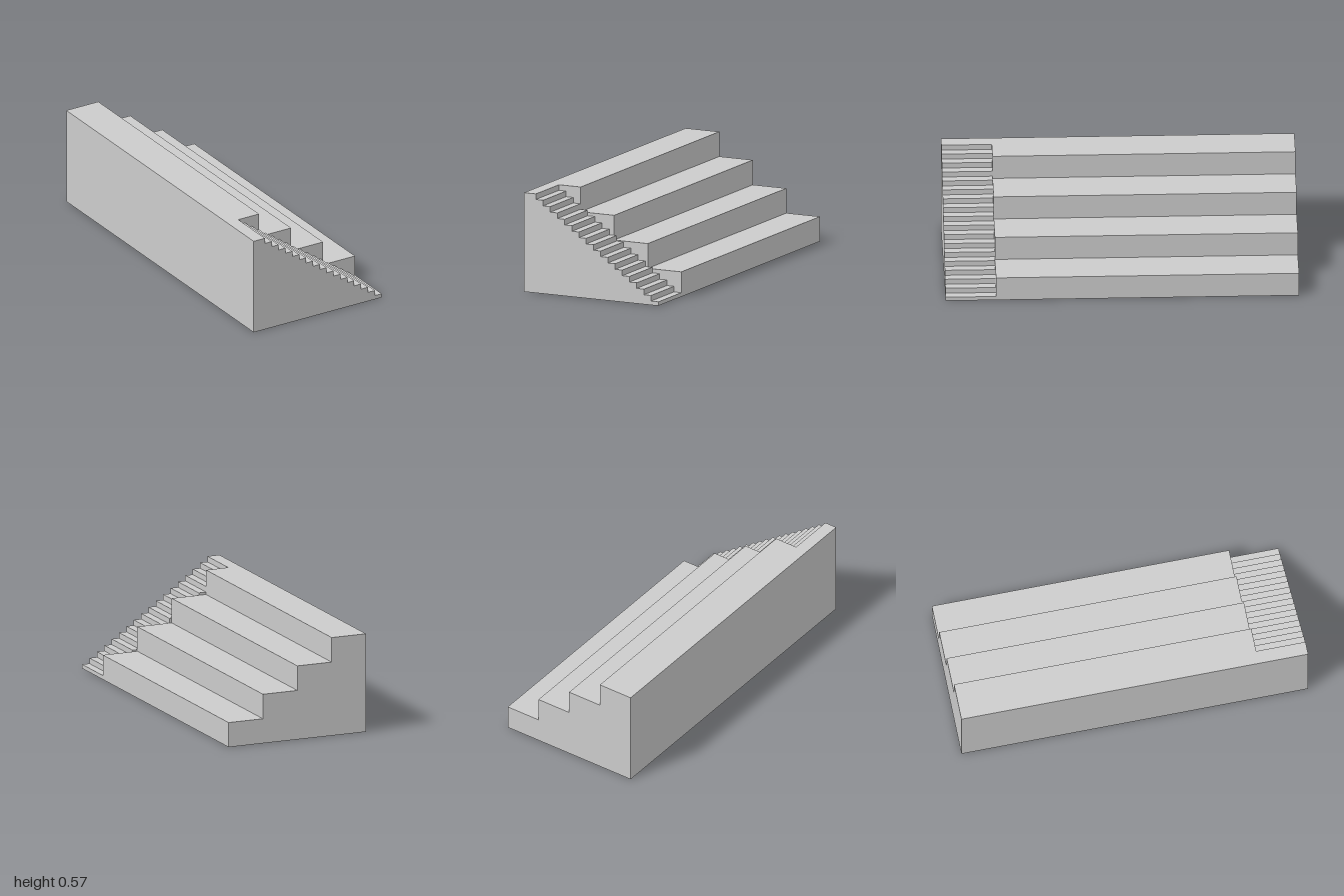
import * as THREE from 'three';

const HALF_WIDTH = 0.427;
const HEIGHT = 0.572;
const SPLIT_Z = 0.715; // where the seating tiers end and the stairway begins

// Solid stepped block: descends towards +x, extruded from zBack to zFront
function steppedBlock(name, count, firstEdge, run, rise, zBack, zFront, material) {
  const shape = new THREE.Shape();
  shape.moveTo(-HALF_WIDTH, 0);
  shape.lineTo(HALF_WIDTH, 0);
  for (let i = count - 1; i >= 0; i--) {
    const x = i === count - 1 ? HALF_WIDTH : firstEdge + i * run;
    const y = HEIGHT - i * rise;
    shape.lineTo(x, y);
    shape.lineTo(i === 0 ? -HALF_WIDTH : firstEdge + (i - 1) * run, y);
  }
  const geometry = new THREE.ExtrudeGeometry(shape, { depth: zFront - zBack, bevelEnabled: false });
  geometry.translate(0, 0, zBack);
  const mesh = new THREE.Mesh(geometry, material);
  mesh.name = name;
  return mesh;
}

export function createModel() {
  const group = new THREE.Group();
  group.name = 'terracedSeating';
  const material = new THREE.MeshStandardMaterial({ color: 0xcccccc, flatShading: true });

  // Four broad tiers
  const tierRun = HALF_WIDTH / 2;
  group.add(steppedBlock('seatingTiers', 4, -HALF_WIDTH + tierRun, tierRun, HEIGHT / 4, -1, SPLIT_Z, material));

  // Narrow stairway at the front end, below a short top landing
  group.add(steppedBlock('stairway', 18, -0.352, 0.0458, 0.0323, SPLIT_Z, 1, material));

  return group;
}
